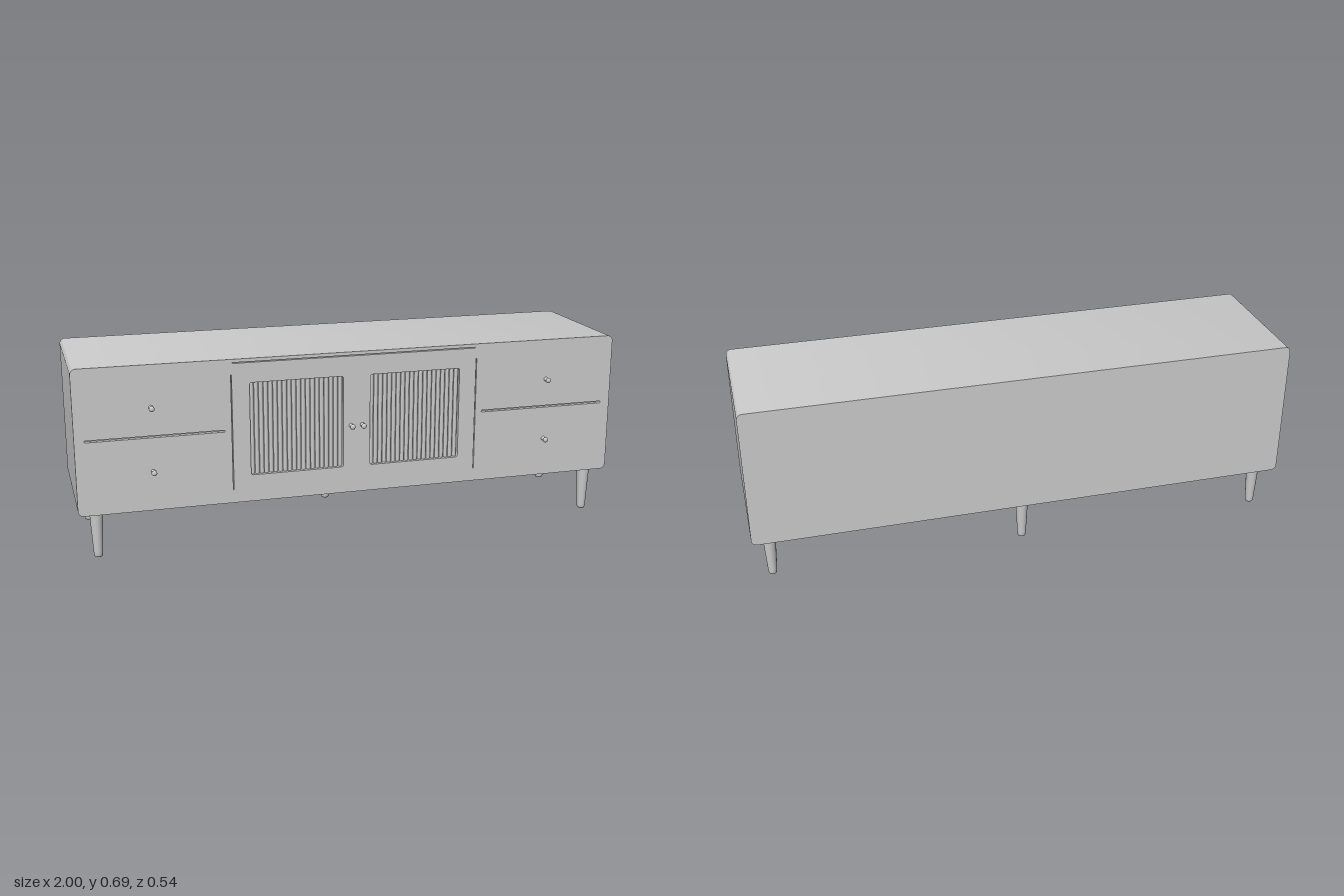
import * as THREE from 'three';
import { toCreasedNormals } from 'three/addons/utils/BufferGeometryUtils.js';

const BOTTOM = 0.172, TOP = 0.695, BACK = -0.268, FRONT = 0.242, PANEL = 0.016;

// Rounded rectangle traced from its corner coordinates
function roundedRect(path, x0, y0, x1, y1, r) {
  path.moveTo(x0 + r, y0);
  path.lineTo(x1 - r, y0);
  path.absarc(x1 - r, y0 + r, r, -Math.PI / 2, 0);
  path.lineTo(x1, y1 - r);
  path.absarc(x1 - r, y1 - r, r, 0, Math.PI / 2);
  path.lineTo(x0 + r, y1);
  path.absarc(x0 + r, y1 - r, r, Math.PI / 2, Math.PI);
  path.lineTo(x0, y0 + r);
  path.absarc(x0 + r, y0 + r, r, Math.PI, Math.PI * 1.5);
  return path;
}

function extrude(shape, depth) {
  const geometry = new THREE.ExtrudeGeometry(shape, { depth, bevelEnabled: false, curveSegments: 8 });
  return toCreasedNormals(geometry, 0.5);
}

export function createModel() {
  const model = new THREE.Group();
  const material = new THREE.MeshStandardMaterial({ color: 0xcccccc });

  function add(name, geometry, x = 0, y = 0, z = 0, parent = model) {
    const mesh = new THREE.Mesh(geometry, material);
    mesh.name = name;
    mesh.position.set(x, y, z);
    parent.add(mesh);
    return mesh;
  }

  // Cabinet body
  const outline = () => roundedRect(new THREE.Shape(), -1, BOTTOM, 1, TOP, 0.02);
  add('carcass', extrude(outline(), FRONT - PANEL - BACK), 0, 0, BACK);

  // Front panel with door openings and the seams between drawers, doors and top
  const face = outline();
  const cut = (x0, y0, x1, y1, r) => face.holes.push(roundedRect(new THREE.Path(), x0, y0, x1, y1, r));
  for (const side of [-1, 1]) {
    const span = (a, b) => [Math.min(side * a, side * b), Math.max(side * a, side * b)];
    const [d0, d1] = span(0.05, 0.39);
    cut(d0, 0.27, d1, 0.608, 0.008);
    const [s0, s1] = span(0.48, 0.965);
    cut(s0, 0.436, s1, 0.443, 0.003);
    const [v0, v1] = span(0.453, 0.456);
    cut(v0, 0.22, v1, 0.64, 0.001);
  }
  cut(-0.45, 0.68, 0.45, 0.683, 0.001);
  add('frontPanel', extrude(face, PANEL), 0, 0, FRONT - PANEL);

  // Reeded slats inside each door opening
  const slatCount = 20;
  const pitch = 0.34 / slatCount;
  const slat = new THREE.CylinderGeometry(pitch * 0.46, pitch * 0.46, 0.336, 10);
  for (const side of [-1, 1]) {
    const door = new THREE.Group();
    door.name = side > 0 ? 'leftDoorSlats' : 'rightDoorSlats';
    for (let i = 0; i < slatCount; i++) {
      add('slat', slat, side * (0.05 + pitch * (i + 0.5)), 0.439, FRONT - PANEL, door);
    }
    model.add(door);
  }

  // Turned knobs on the drawers and doors
  const knobProfile = new THREE.SplineCurve([
    [0.009, -0.003], [0.0075, 0.003], [0.005, 0.009], [0.006, 0.014],
    [0.0095, 0.019], [0.0095, 0.023], [0.006, 0.027], [0, 0.028],
  ].map(([r, h]) => new THREE.Vector2(r, h))).getPoints(20);
  knobProfile[knobProfile.length - 1].x = 0;
  const knob = new THREE.LatheGeometry(knobProfile, 20).rotateX(Math.PI / 2);
  for (const side of [-1, 1]) {
    add('drawerKnob', knob, side * 0.735, 0.544, FRONT);
    add('drawerKnob', knob, side * 0.735, 0.314, FRONT);
    add('doorKnob', knob, side * 0.021, 0.424, FRONT);
  }

  // Tapered legs: four at the corners and one under the middle of the back
  const legProfile = [
    [0, 0], [0.010, 0], [0.0135, 0.002], [0.0155, 0.008], [0.0165, 0.02],
    [0.0235, 0.16], [0.0245, 0.168], [0.0265, 0.174],
  ].map(([r, h]) => new THREE.Vector2(r, h));
  const leg = new THREE.LatheGeometry(legProfile, 28);
  for (const x of [-0.935, 0.935]) {
    add('frontLeg', leg, x, 0, 0.189);
    add('backLeg', leg, x, 0, -0.202);
  }
  add('middleLeg', leg, 0, 0, -0.202);

  return model;
}
